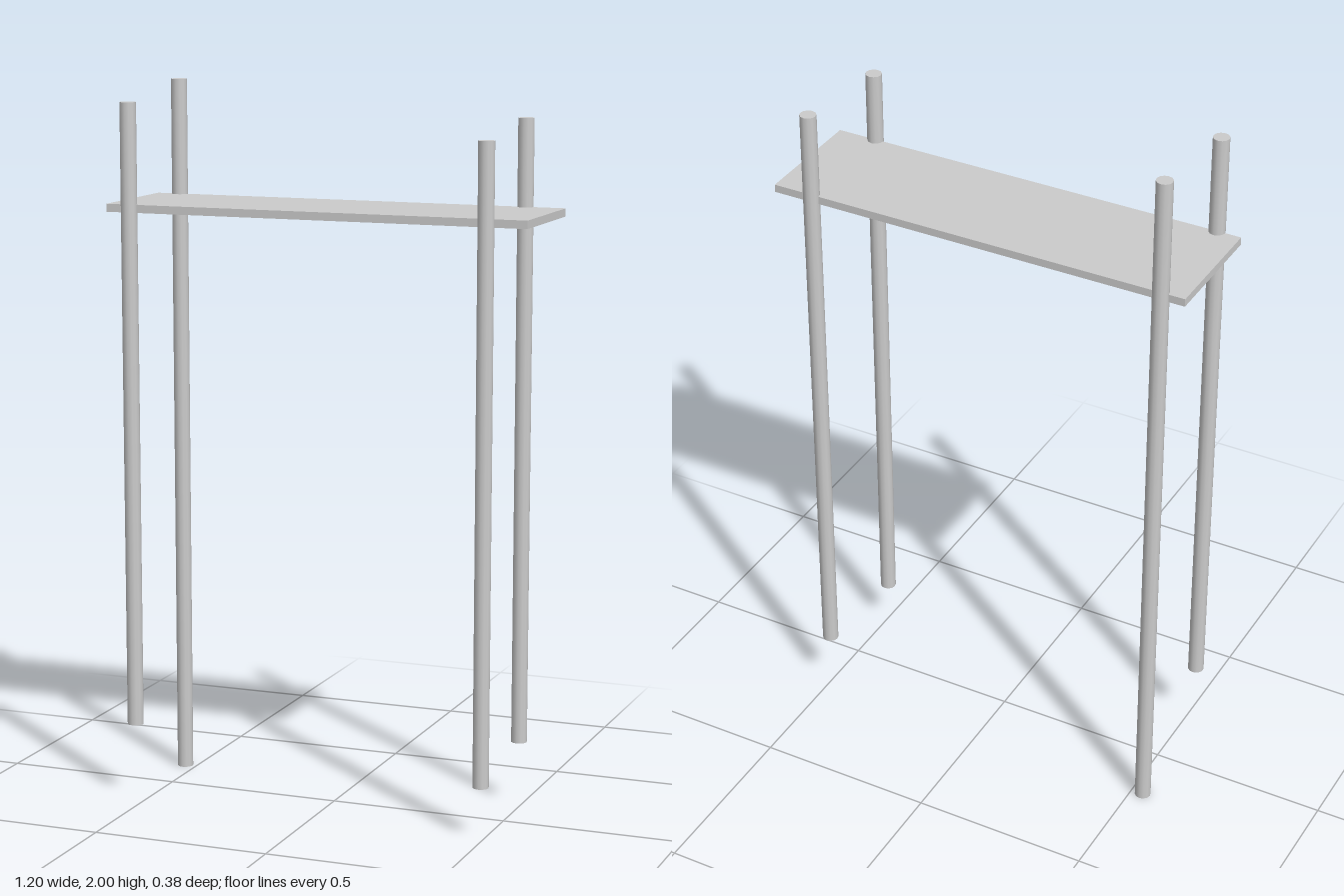
import * as THREE from 'three';

export function createModel() {
  const group = new THREE.Group();
  group.name = 'shelfOnPosts';
  const material = new THREE.MeshStandardMaterial({ color: 0xcccccc });

  // Flat board carried between the posts
  const shelf = new THREE.Mesh(new THREE.BoxGeometry(1.204, 0.022, 0.338), material);
  shelf.name = 'shelf';
  shelf.position.y = 1.666;
  group.add(shelf);

  // Round posts at staggered heights: name, x, z, bottom, top
  const posts = [
    ['backRightPost', -0.534, -0.168, 0, 2],
    ['frontRightPost', -0.534, 0.168, 0.215, 1.955],
    ['backLeftPost', 0.489, -0.168, 0.18, 1.917],
    ['frontLeftPost', 0.489, 0.168, 0.143, 1.88],
  ];
  for (const [name, x, z, bottom, top] of posts) {
    const post = new THREE.Mesh(new THREE.CylinderGeometry(0.0225, 0.0225, top - bottom, 12), material);
    post.name = name;
    post.position.set(x, (top + bottom) / 2, z);
    group.add(post);
  }

  return group;
}
